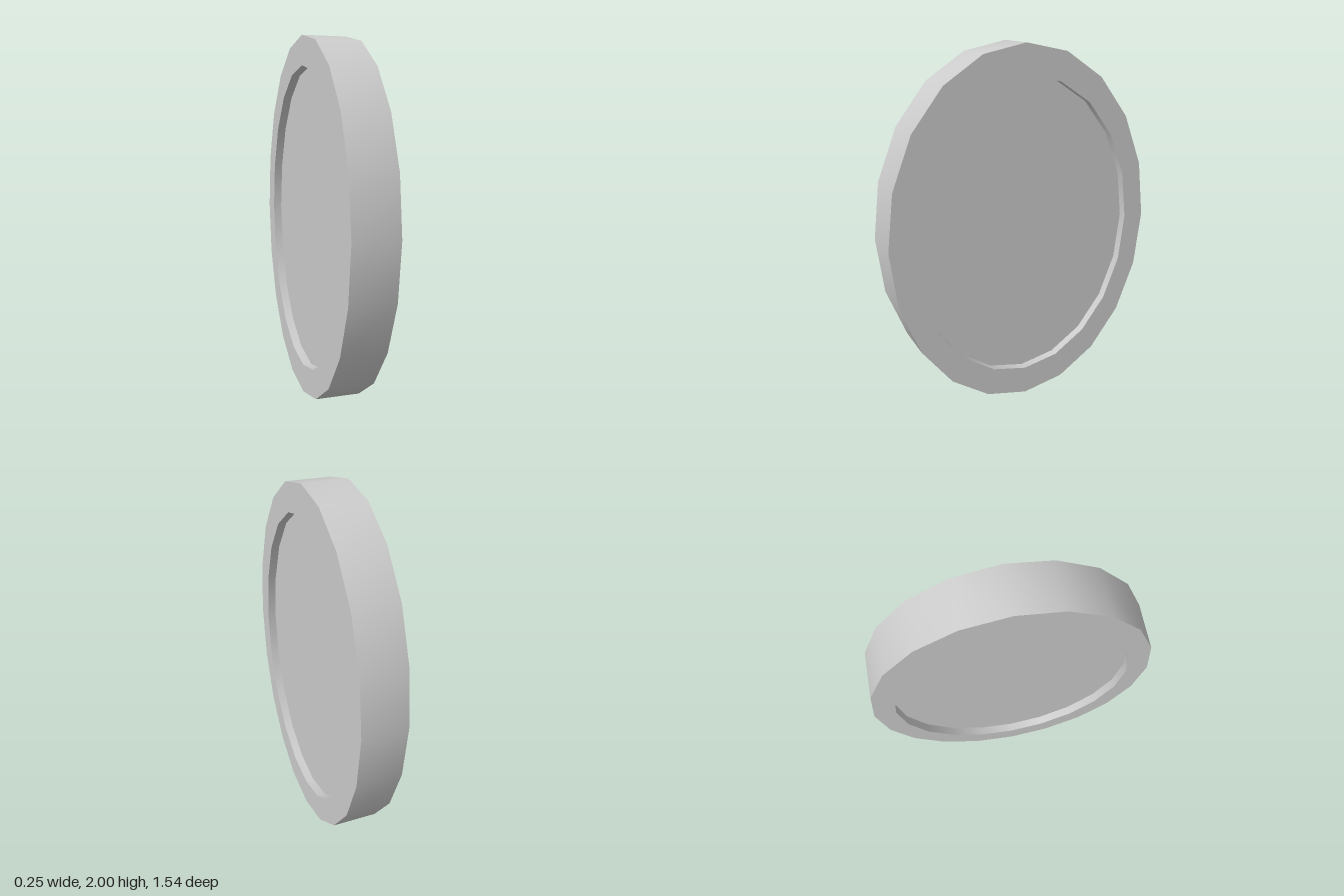
import * as THREE from 'three';
import { toCreasedNormals } from 'three/addons/utils/BufferGeometryUtils.js';

const SIDES = 20;

// Corners of a 20-sided oval with the given half width and half height
function oval(halfWidth, halfHeight) {
  return Array.from({ length: SIDES }, (_, i) => {
    const a = (i / SIDES) * Math.PI * 2;
    return new THREE.Vector2(Math.cos(a) * halfWidth, Math.sin(a) * halfHeight);
  });
}

// Slab of the given thickness, centred on x = 0, smooth around its walls
function slab(name, shape, thickness, material) {
  const extruded = new THREE.ExtrudeGeometry(shape, { depth: thickness, bevelEnabled: false });
  extruded.translate(0, 0, -thickness / 2).rotateY(Math.PI / 2).translate(0, 1, 0);
  const mesh = new THREE.Mesh(toCreasedNormals(extruded, 0.7), material);
  mesh.name = name;
  return mesh;
}

export function createModel() {
  const group = new THREE.Group();
  group.name = 'ovalDisc';
  const material = new THREE.MeshStandardMaterial({ color: 0xcccccc });

  // Thick outer rim
  const rimShape = new THREE.Shape(oval(0.77, 1));
  rimShape.holes.push(new THREE.Path(oval(0.65, 0.84)));
  group.add(slab('rim', rimShape, 0.25, material));

  // Panel, recessed on both sides
  group.add(slab('panel', new THREE.Shape(oval(0.65, 0.84)), 0.155, material));

  return group;
}
